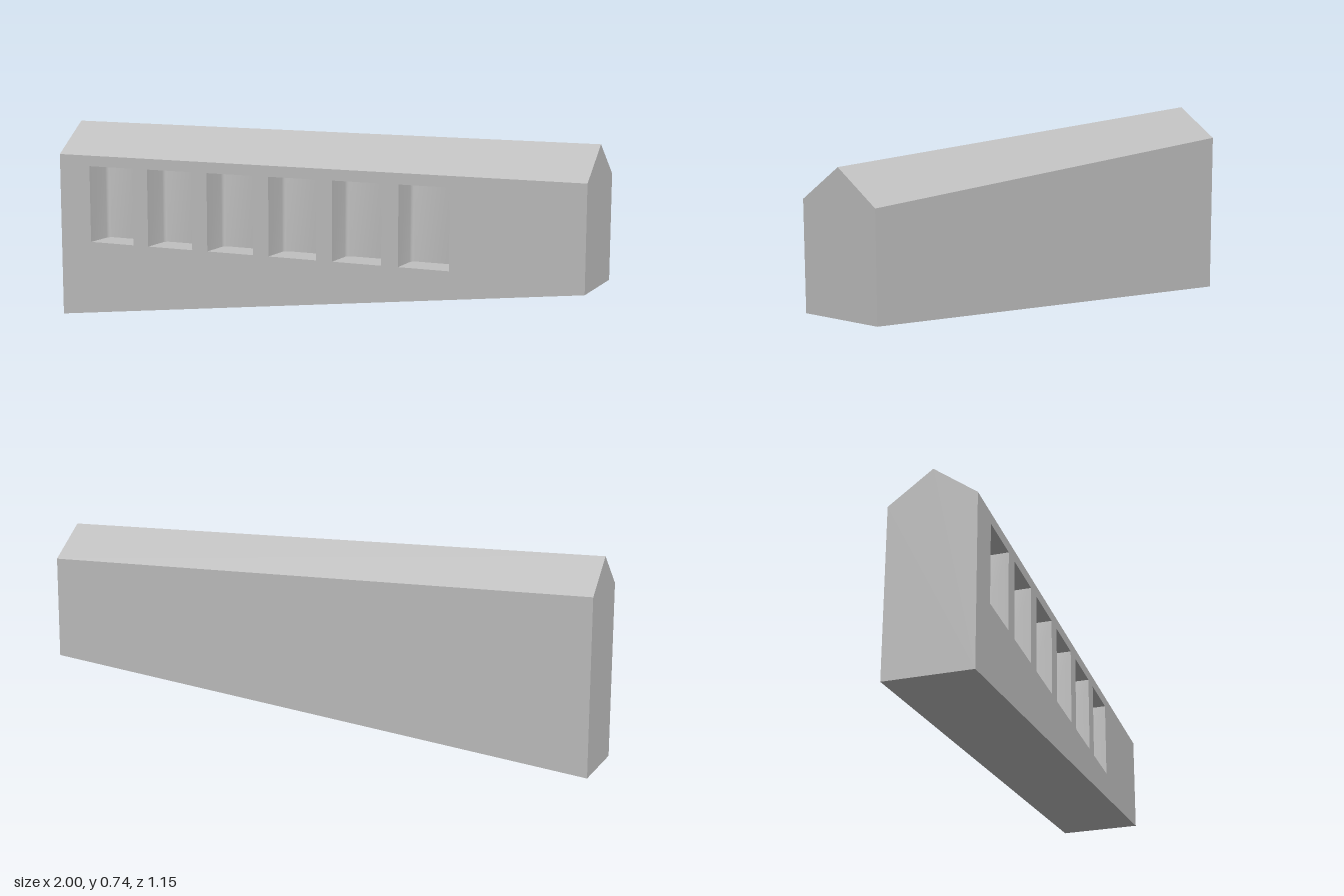
import * as THREE from 'three';
import { toCreasedNormals } from 'three/addons/utils/BufferGeometryUtils.js';

const HALF_LENGTH = 1.032, HALF_WIDTH = 0.152;
const EAVES = 0.62, RIDGE = 0.735, LOW_BASE = 0, HIGH_BASE = 0.247;
const WINDOW = { count: 6, start: -0.9, pitch: 0.2525, width: 0.189, bottom: 0.29, top: 0.58, depth: 0.13, fillet: 0.02 };

// Convex polygons, counter-clockwise from their visible side, as fans
function fromPolygons(polygons) {
  const pos = [];
  for (const p of polygons)
    for (let i = 1; i < p.length - 1; i++) pos.push(...p[0], ...p[i], ...p[i + 1]);
  const g = new THREE.BufferGeometry();
  g.setAttribute('position', new THREE.Float32BufferAttribute(pos, 3));
  return toCreasedNormals(g, 0.6);
}

// Gabled end section at a given x
const section = (x, base) => [
  [x, base, HALF_WIDTH], [x, EAVES, HALF_WIDTH], [x, RIDGE, 0],
  [x, EAVES, -HALF_WIDTH], [x, base, -HALF_WIDTH],
];

// Roof, back wall, sloping underside and both ends
function shellGeometry() {
  const a = section(-HALF_LENGTH, LOW_BASE), b = section(HALF_LENGTH, HIGH_BASE);
  const faces = [a, [...b].reverse()];
  for (let i = 1; i < 5; i++) {
    const j = (i + 1) % 5;
    faces.push([a[i], b[i], b[j], a[j]]);
  }
  return fromPolygons(faces);
}

// Front wall with window openings
function frontWallGeometry() {
  const wall = new THREE.Shape([
    new THREE.Vector2(-HALF_LENGTH, LOW_BASE), new THREE.Vector2(HALF_LENGTH, HIGH_BASE),
    new THREE.Vector2(HALF_LENGTH, EAVES), new THREE.Vector2(-HALF_LENGTH, EAVES),
  ]);
  for (let i = 0; i < WINDOW.count; i++) {
    const x = WINDOW.start + i * WINDOW.pitch;
    wall.holes.push(new THREE.Path([
      new THREE.Vector2(x, WINDOW.bottom), new THREE.Vector2(x, WINDOW.top),
      new THREE.Vector2(x + WINDOW.width, WINDOW.top), new THREE.Vector2(x + WINDOW.width, WINDOW.bottom),
    ]));
  }
  return new THREE.ShapeGeometry(wall).translate(0, 0, HALF_WIDTH);
}

// Blind window niche, with softly rounded inner corners
function nicheGeometry() {
  const { width: w, depth: d, fillet: r, bottom, top } = WINDOW;
  const plan = [[0, 0]];
  for (const [cx, start] of [[r, Math.PI], [w - r, Math.PI * 1.5]])
    for (let k = 0; k <= 4; k++) {
      const t = start + (k / 4) * Math.PI / 2;
      plan.push([cx + r * Math.cos(t), -d + r + r * Math.sin(t)]);
    }
  plan.push([w, 0]);
  const at = (y) => plan.map(([x, z]) => [x, y, z + HALF_WIDTH]);
  const lo = at(bottom), hi = at(top);
  const faces = [[...lo].reverse(), hi];
  for (let i = 0; i < plan.length - 1; i++) faces.push([lo[i], lo[i + 1], hi[i + 1], hi[i]]);
  return fromPolygons(faces);
}

export function createModel() {
  const grey = new THREE.MeshStandardMaterial({ color: 0xc0c0c0 });
  grey.name = 'grey';
  const model = new THREE.Group();
  model.name = 'gabledBlock';
  const add = (name, geometry) => {
    const mesh = new THREE.Mesh(geometry, grey);
    mesh.name = name;
    model.add(mesh);
    return mesh;
  };

  add('shell', shellGeometry());
  add('frontWall', frontWallGeometry());
  const niche = nicheGeometry();
  for (let i = 0; i < WINDOW.count; i++)
    add('windowNiche' + (i + 1), niche).position.x = WINDOW.start + i * WINDOW.pitch;

  // The block stands at an angle
  model.rotation.y = -THREE.MathUtils.degToRad(25);
  return model;
}
